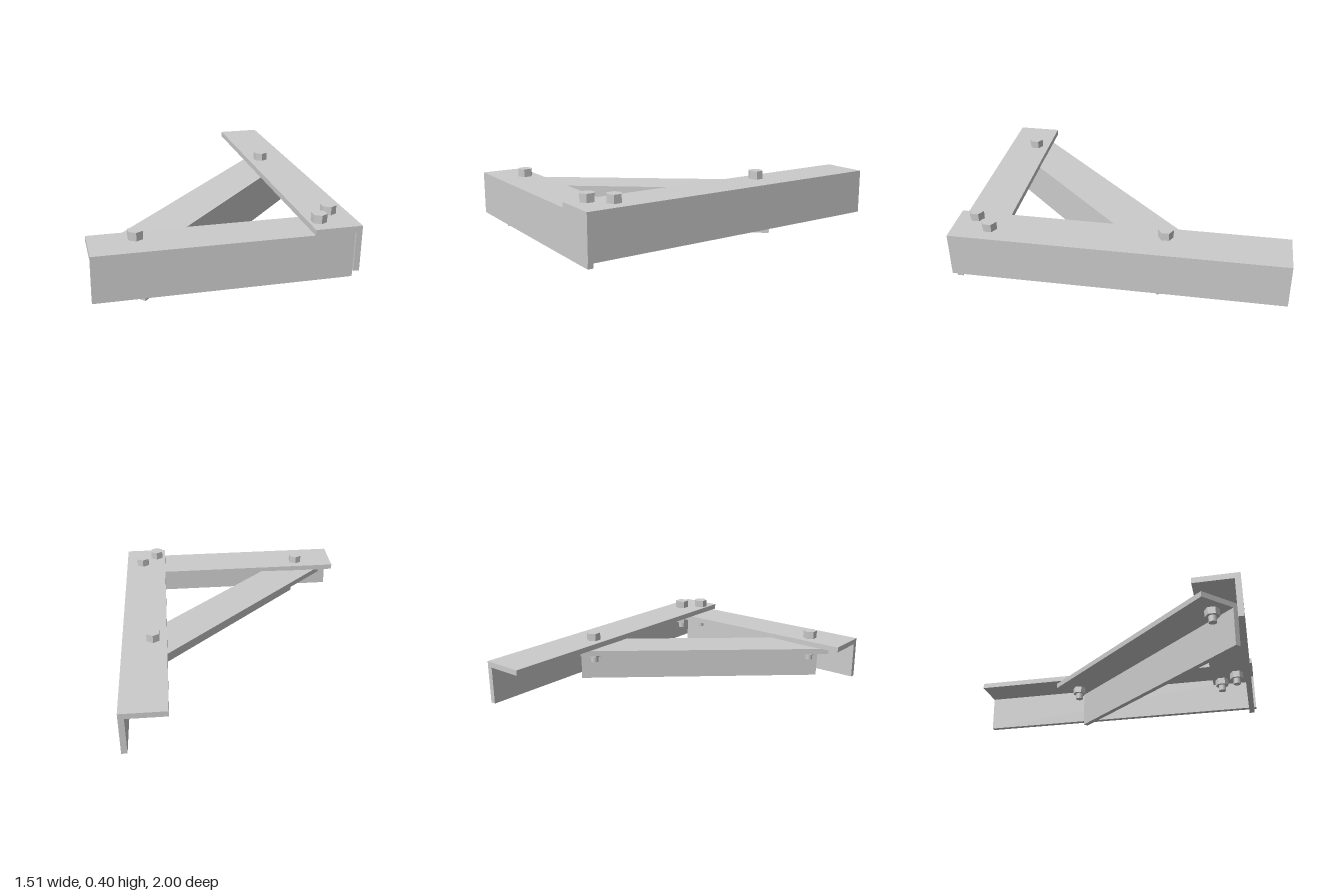
import * as THREE from 'three';

const W = 0.275;  // flange width
const T = 0.035;  // flange thickness
const steel = new THREE.MeshStandardMaterial({ color: 0xcccccc });

// L-section bar: outer corner on the local z axis, flanges towards -x and -y
function angleBar(name, length, position, yaw, pitch = 0) {
  const profile = new THREE.Shape([
    [0, 0], [-W, 0], [-W, -T], [-T, -T], [-T, -W], [0, -W],
  ].map(([x, y]) => new THREE.Vector2(x, y)));
  const geometry = new THREE.ExtrudeGeometry(profile, { depth: length, bevelEnabled: false });
  const bar = new THREE.Mesh(geometry, steel);
  bar.name = name;
  bar.position.set(...position);
  bar.rotation.set(pitch, yaw, 0, 'YXZ');
  return bar;
}

// Upright prism or rod between two heights
function post(name, radius, bottom, top, sides) {
  const geometry = new THREE.CylinderGeometry(radius, radius, top - bottom, sides);
  const mesh = new THREE.Mesh(sides === 6 ? geometry.toNonIndexed() : geometry, steel);
  if (sides === 6) mesh.geometry.computeVertexNormals();
  mesh.name = name;
  mesh.position.y = (top + bottom) / 2;
  return mesh;
}

// Hex bolt clamping everything between the seat heights of its head and nut
function bolt(name, x, z, headSeat, nutSeat) {
  const group = new THREE.Group();
  group.name = name;
  group.add(
    post('boltHead', 0.046, headSeat, headSeat + 0.05, 6),
    post('boltShank', 0.025, nutSeat - 0.085, headSeat + 0.01, 20),
    post('nut', 0.046, nutSeat - 0.045, nutSeat + 0.005, 6),
  );
  group.position.set(x, 0, z);
  return group;
}

export function createModel() {
  const model = new THREE.Group();
  model.name = 'angleIronFrame';

  // Two bars meeting at a right angle, the long one lapped over the short one
  model.add(angleBar('longBar', 2, [0.755, 0.355, -1], 0));
  model.add(angleBar('shortBar', 1.475, [0.72, 0.315, 0.985], -Math.PI / 2));

  // Diagonal brace under both bars, sloping down to the short one
  const run = 1.19 * Math.SQRT2;
  model.add(angleBar('diagonalBrace', run, [0.72, 0.32, -0.24], -Math.PI / 4, Math.atan(0.044 / run)));

  // Bolts at the three joints
  model.add(bolt('cornerBoltInner', 0.64, 0.775, 0.355, 0.28));
  model.add(bolt('cornerBoltOuter', 0.54, 0.885, 0.355, 0.28));
  model.add(bolt('braceBoltLong', 0.565, -0.27, 0.355, 0.283));
  model.add(bolt('braceBoltShort', -0.49, 0.8, 0.315, 0.243));

  return model;
}
